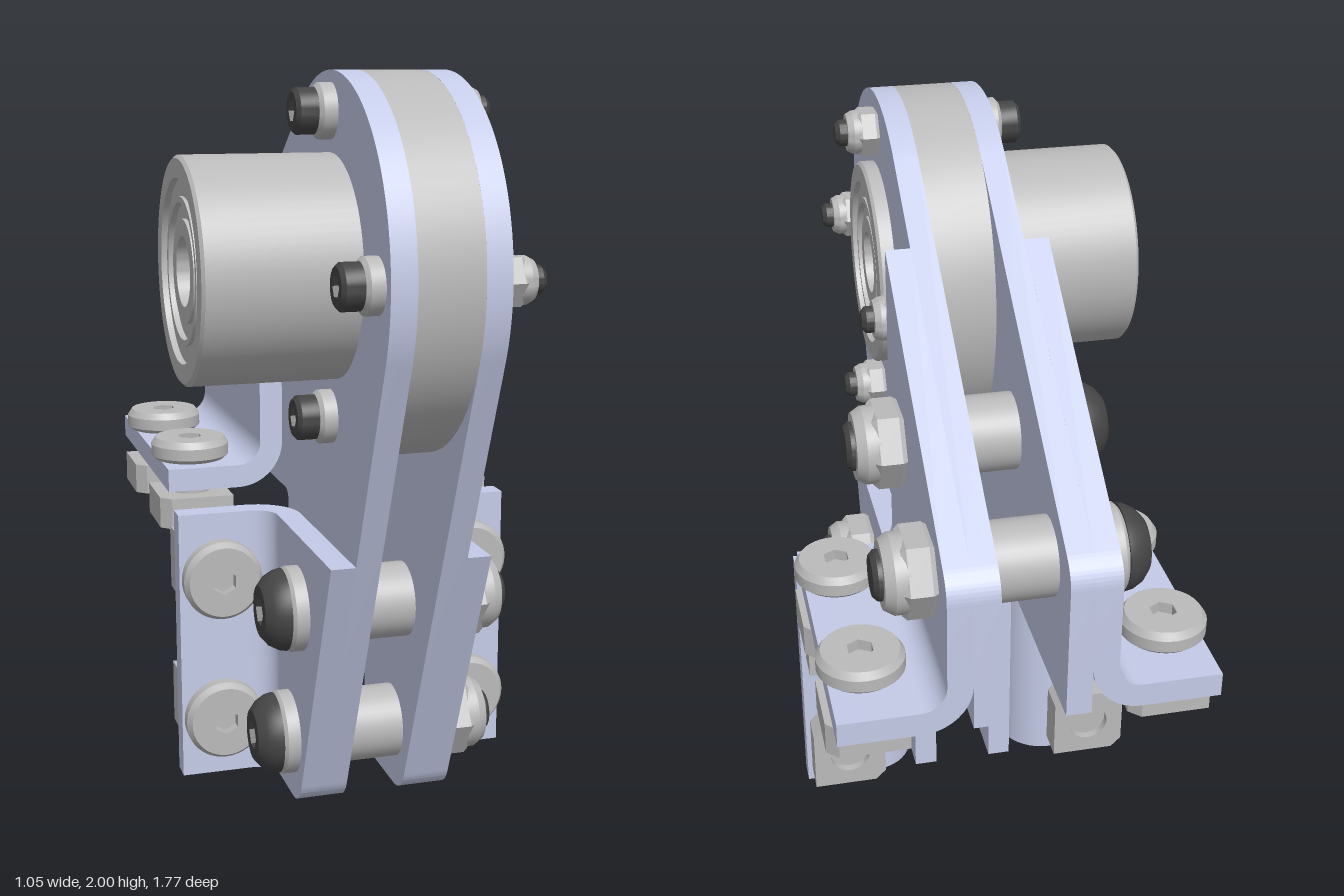
import * as THREE from 'three';
import { mergeGeometries, toCreasedNormals } from 'three/addons/utils/BufferGeometryUtils.js';

const material = (name, color) => Object.assign(new THREE.MeshStandardMaterial({ color }), { name });
const plateBlue = material('pale blue plate', 0xcad1ee);
const steel = material('grey steel', 0xbababa);
const black = material('black bolt', 0x454545);

const T = 0.0655;          // sheet thickness
const IN = 0.0835;         // inner face of the main plates
const OUT = IN + T;        // outer face of the main plates
const BR = OUT + T;        // outer face of the bracket webs
const HUB = { y: 1.512, z: 0.398 };

function add(parent, name, geometry, mat, x = 0, y = 0, z = 0) {
  const mesh = new THREE.Mesh(geometry, mat);
  mesh.name = name;
  mesh.position.set(x, y, z);
  parent.add(mesh);
  return mesh;
}

function group(parent, name, x = 0, y = 0, z = 0) {
  const g = new THREE.Group();
  g.name = name;
  g.position.set(x, y, z);
  parent.add(g);
  return g;
}

// Turned solid from [radius, height] pairs, axis along y
const turned = (points, sides = 40) => toCreasedNormals(
  new THREE.LatheGeometry(points.map(p => new THREE.Vector2(...p)), sides), 0.45);

const extrude = (shape, depth) => toCreasedNormals(
  new THREE.ExtrudeGeometry(shape, { depth, bevelEnabled: false, curveSegments: 32 }), 0.45);

// Side profile drawn in (z, y), thickened along x from x0
const sideSheet = (shape, x0, depth) =>
  extrude(shape, depth).rotateY(-Math.PI / 2).translate(x0 + depth, 0, 0);

const toRight = g => g.rotateZ(-Math.PI / 2);
const toLeft = g => g.rotateZ(Math.PI / 2);

// Round head with a hexagonal socket in its top
function socketHead(profile, socket) {
  const [topR, topY] = profile[profile.length - 1];
  const cap = new THREE.Shape().absarc(0, 0, topR, 0, Math.PI * 2);
  const hex = [];
  for (let i = 0; i < 6; i++) {
    const a = (i + 0.5) * Math.PI / 3;
    hex.push(new THREE.Vector2(Math.cos(a) * socket, Math.sin(a) * socket));
  }
  cap.holes.push(new THREE.Path(hex));
  return mergeGeometries([
    turned(profile),
    new THREE.ShapeGeometry(cap, 32).toNonIndexed().rotateX(-Math.PI / 2).translate(0, topY, 0),
    turned([[socket, topY], [socket, topY - 0.03], [0, topY - 0.03]], 6),
  ]);
}

// Bolt through the plates: head on the right hand, lock nut on the left hand
function throughBolt(parent, name, y, z, s) {
  const g = group(parent, name, 0, y, z);
  add(g, 'washer', toLeft(turned([[0, 0], [s.wr, 0], [s.wr, s.wh - 0.01], [s.wr - 0.01, s.wh], [0, s.wh]])),
    steel, -s.face);
  add(g, 'boltHead', toLeft(socketHead(s.head, s.socket)), black, -s.face - s.wh);
  const { nr: r, nh: h } = s;
  add(g, 'nut', toRight(turned([[0, 0], [r * 0.93, 0], [r, h * 0.1], [r, h * 0.55], [r * 0.9, h * 0.65], [0, h * 0.65]], 6)),
    steel, s.face);
  add(g, 'nutCollar', toRight(turned([[r * 0.87, h * 0.5], [r * 0.87, h * 0.8], [r * 0.74, h], [s.tip, h]])),
    steel, s.face);
  add(g, 'boltTip', toRight(turned([[s.tip, h * 0.5], [s.tip, s.end - 0.012], [s.tip - 0.012, s.end], [0, s.end]])),
    black, s.face);
  return g;
}

// Flange bolt with its slot nut, axis along y, flange between 0 and T
function flangeBolt(parent, x, y, z, tilt) {
  const g = group(parent, 'flangeBolt', x, y, z);
  g.rotation.x = tilt;
  add(g, 'flangeBoltHead', socketHead([[0, T], [0.1, T], [0.113, T + 0.012], [0.113, T + 0.045],
    [0.1, T + 0.064], [0.07, T + 0.064]], 0.036), steel);
  add(g, 'flangeBoltShank', turned([[0, -0.1], [0.058, -0.1], [0.058, 0.01]], 32), steel);
  const a = 0.106, c = 0.03;
  const outline = new THREE.Shape([[-a, -a], [a - c, -a], [a, -a + c], [a, a], [-a + c, a], [-a, a - c]]
    .map(p => new THREE.Vector2(...p)));
  outline.holes.push(new THREE.Path().absarc(0, 0, 0.058, 0, Math.PI * 2));
  add(g, 'slotNut', extrude(outline, 0.09).rotateX(Math.PI / 2), steel, 0, -0.033);
}

// Bent flange section drawn in (x, height), mirrored by side
function bendShape(side) {
  const s = new THREE.Shape();
  const arc = (cx, cy, r, from, to) => {
    for (let i = 0; i <= 10; i++) {
      const a = from + (to - from) * i / 10;
      s.lineTo(side * (cx + r * Math.cos(a)), cy + r * Math.sin(a));
    }
  };
  const c = BR + T;
  s.moveTo(side * 0.485, 0);
  s.lineTo(side * 0.485, T);
  arc(c, 2 * T, T, -Math.PI / 2, -Math.PI);
  arc(c, 2 * T, 2 * T, -Math.PI, -Math.PI / 2);
  return s;
}

export function createModel() {
  const root = new THREE.Group();
  root.name = 'bearingMount';
  const body = group(root, 'mountBody', 0.0165);

  // Main side plates
  const plate = new THREE.Shape();
  plate.moveTo(0.235, 0);
  plate.quadraticCurveTo(0.305, 0, 0.3315, 0.065);
  plate.absarc(HUB.z, HUB.y, 0.488, -0.389, 2.171, false);
  plate.lineTo(-0.84, 1.2565);
  plate.quadraticCurveTo(-0.886, 1.225, -0.886, 1.18);
  plate.lineTo(-0.886, 0.815);
  plate.lineTo(-0.077, 0.815);
  plate.quadraticCurveTo(-0.042, 0.815, -0.042, 0.78);
  plate.lineTo(-0.042, 0);
  plate.holes.push(new THREE.Path().absarc(HUB.z, HUB.y, 0.28, 0, Math.PI * 2));

  // Webs of the angle brackets
  const upperWeb = new THREE.Shape();
  upperWeb.moveTo(-0.11, 0.815 + 2 * T);
  upperWeb.lineTo(-0.11, 1.756);
  upperWeb.lineTo(-0.84, 1.2565);
  upperWeb.quadraticCurveTo(-0.886, 1.225, -0.886, 1.18);
  upperWeb.lineTo(-0.886, 0.815 + 2 * T);
  const lowerWeb = new THREE.Shape();
  lowerWeb.moveTo(2 * T - 0.042, 0);
  lowerWeb.lineTo(0.235, 0);
  lowerWeb.quadraticCurveTo(0.305, 0, 0.3315, 0.065);
  lowerWeb.lineTo(0.625, 0.78);
  lowerWeb.lineTo(2 * T - 0.042, 0.78);

  for (const side of [-1, 1]) {
    const label = side > 0 ? 'left' : 'right';
    add(body, label + 'SidePlate', sideSheet(plate, side > 0 ? IN : -OUT, T), plateBlue);
    const web = side > 0 ? OUT : -BR;
    const upper = group(body, label + 'UpperBracket');
    add(upper, 'upperWeb', sideSheet(upperWeb, web, T), plateBlue);
    add(upper, 'upperFlange', extrude(bendShape(side), 0.776), plateBlue, 0, 0.815, -0.886);
    const lower = group(body, label + 'LowerBracket');
    add(lower, 'lowerWeb', sideSheet(lowerWeb, web, T), plateBlue);
    add(lower, 'lowerFlange', extrude(bendShape(side), 0.78).rotateX(Math.PI / 2), plateBlue, 0, 0.78, -0.042);
    for (const z of [-0.256, -0.677]) flangeBolt(upper, side * 0.393, 0.815, z, 0);
    for (const y of [0.594, 0.177]) flangeBolt(lower, side * 0.368, y, -0.042, Math.PI / 2);
  }

  // Hub with bearing rings at both ends and the wide disc between the plates
  const endFace = [[0.0875, 0.012], [0.13, 0.012], [0.13, 0.022], [0.17, 0.022], [0.17, 0.007], [0.185, 0.007],
    [0.185, 0.016], [0.23, 0.016], [0.23, 0], [0.278, 0], [0.286, 0.008]];
  const hubProfile = [
    ...endFace.map(([r, d]) => [r, -0.5415 + d]),
    [0.286, -IN], [0.488, -IN], [0.488, IN], [0.286, IN],
    ...endFace.map(([r, d]) => [r, 0.1935 - d]).reverse(),
    [0.0875, -0.5295],
  ];
  add(body, 'bearingHub', toRight(turned(hubProfile, 72)), steel, 0, HUB.y, HUB.z);

  // Four small bolts around the hub
  const small = { face: OUT, wr: 0.07, wh: 0.045, socket: 0.028, nr: 0.068, nh: 0.085, tip: 0.036, end: 0.117,
    head: [[0, 0], [0.058, 0], [0.058, 0.046], [0.048, 0.056], [0.04, 0.056]] };
  for (let i = 0; i < 4; i++) {
    const a = i * Math.PI / 2;
    throughBolt(body, 'hubBolt', HUB.y + 0.388 * Math.sin(a), HUB.z + 0.388 * Math.cos(a), small);
  }

  // Four large bolts with spacers between the plates
  const large = { face: BR, wr: 0.116, wh: 0.045, socket: 0.04, nr: 0.118, nh: 0.125, tip: 0.064, end: 0.148,
    head: [[0, 0], [0.112, 0], [0.108, 0.02], [0.094, 0.045], [0.07, 0.065], [0.06, 0.065]] };
  for (const [y, z] of [[0.58, 0.313], [0.187, 0.217], [1.297, -0.286], [1.16, -0.685]]) {
    const bolt = throughBolt(body, 'bracketBolt', y, z, large);
    add(bolt, 'spacer', toRight(new THREE.CylinderGeometry(0.103, 0.103, IN * 2, 40)), steel);
  }
  return root;
}
